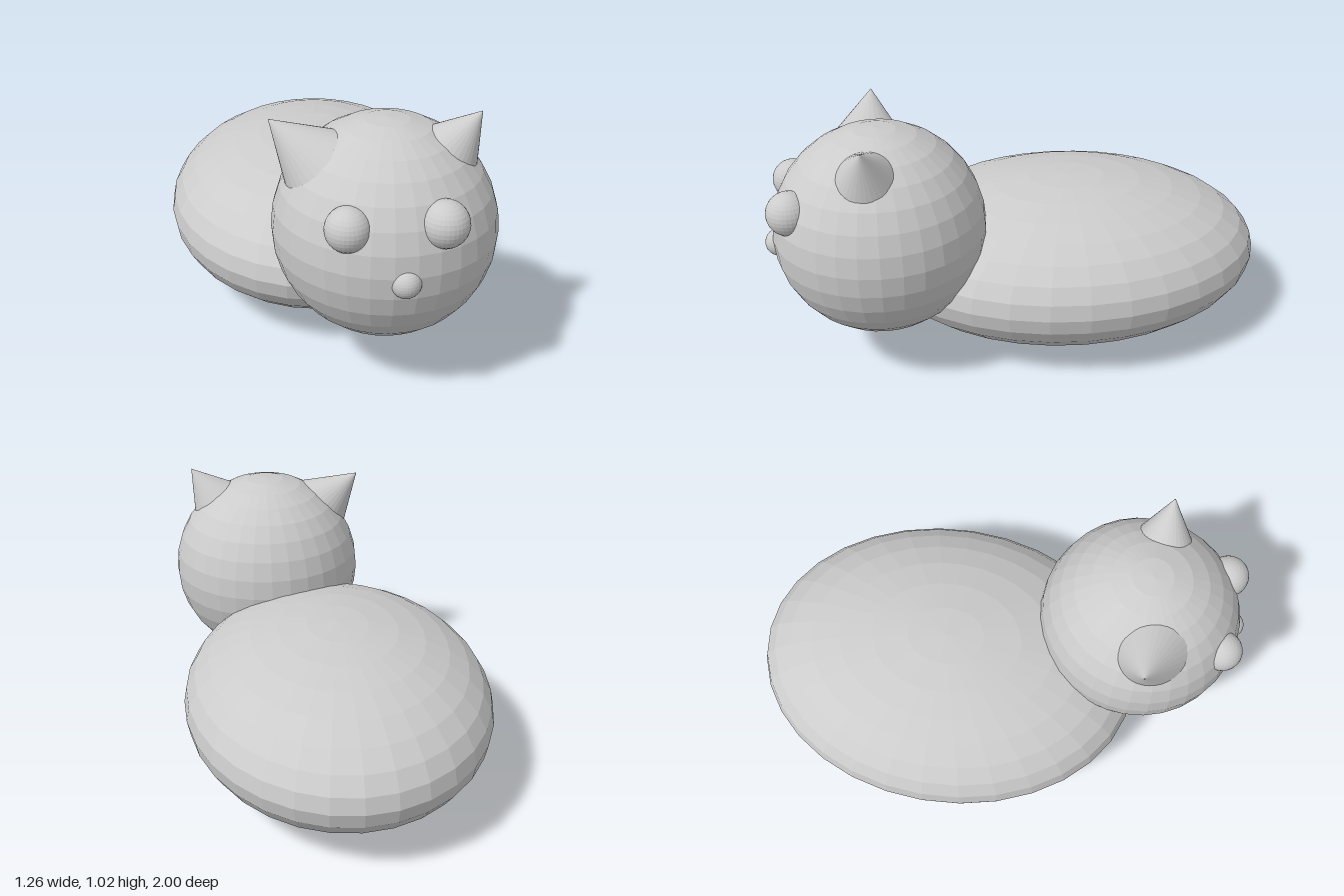
import * as THREE from 'three';

const material = new THREE.MeshStandardMaterial({ color: 0xcccccc, flatShading: true });

// Faceted ball or ellipsoid with its poles along y
function addBall(group, name, center, radii) {
  const ball = new THREE.Mesh(new THREE.SphereGeometry(1, 32, 16), material);
  ball.name = name;
  ball.position.set(...center);
  ball.scale.set(...radii);
  group.add(ball);
  return ball;
}

// Cone given by its tip and the centre of its base
function addCone(group, name, tip, base, radius) {
  const top = new THREE.Vector3(...tip);
  const bottom = new THREE.Vector3(...base);
  const axis = top.clone().sub(bottom);
  const cone = new THREE.Mesh(new THREE.ConeGeometry(radius, axis.length(), 32), material);
  cone.name = name;
  cone.position.copy(top).add(bottom).multiplyScalar(0.5);
  cone.quaternion.setFromUnitVectors(new THREE.Vector3(0, 1, 0), axis.normalize());
  group.add(cone);
}

export function createModel() {
  const model = new THREE.Group();
  model.name = 'lyingCat';

  // Flattened egg-like body
  addBall(model, 'body', [-0.015, 0.322, -0.2], [0.617, 0.32, 0.8]);

  // Head, set off to the left at the front
  const head = new THREE.Group();
  head.name = 'headGroup';
  model.add(head);
  addBall(head, 'head', [0.22, 0.578, 0.563], [0.408, 0.408, 0.408]);

  // Ears point outward from the head centre
  addCone(head, 'rightEar', [-0.19, 0.985, 0.577], [-0.009, 0.814, 0.597], 0.162);
  addCone(head, 'leftEar', [0.54, 1.02, 0.606], [0.411, 0.839, 0.594], 0.147);

  // Face
  addBall(head, 'rightEye', [0.07, 0.724, 0.89], [0.079, 0.079, 0.079]);
  addBall(head, 'leftEye', [0.388, 0.736, 0.882], [0.083, 0.083, 0.083]);
  addBall(head, 'nose', [0.26, 0.553, 0.945], [0.053, 0.053, 0.053]);

  return model;
}
